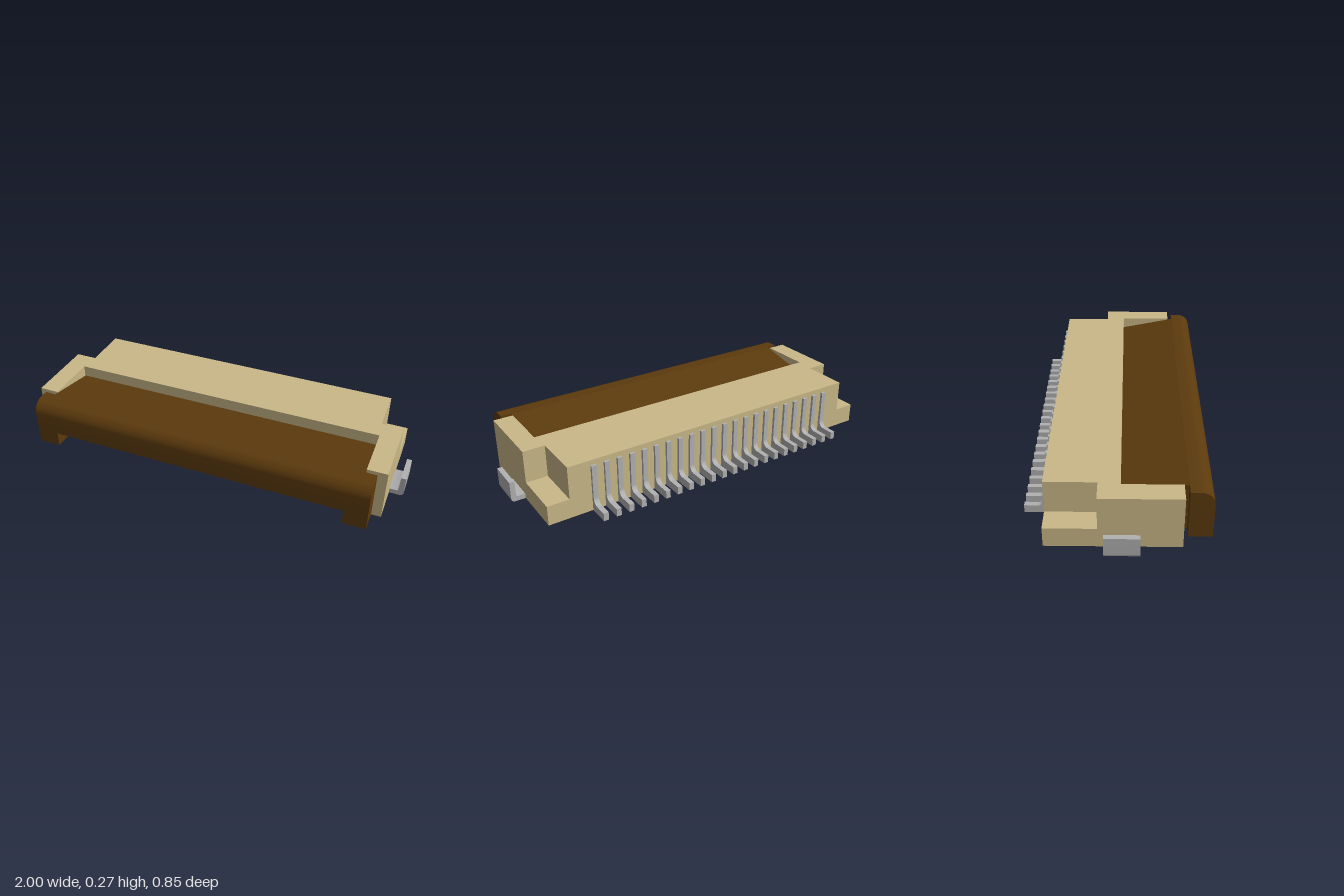
import * as THREE from 'three';
import { toCreasedNormals } from 'three/addons/utils/BufferGeometryUtils.js';

const housingMat = new THREE.MeshStandardMaterial({ color: 0xc9b888 });
housingMat.name = 'tan plastic';
const sliderMat = new THREE.MeshStandardMaterial({ color: 0x5c3a0d });
sliderMat.name = 'brown plastic';
const metalMat = new THREE.MeshStandardMaterial({ color: 0xb1b1b1 });
metalMat.name = 'grey metal';

function add(parent, name, geometry, material) {
  const mesh = new THREE.Mesh(geometry, material);
  mesh.name = name;
  parent.add(mesh);
  return mesh;
}

// Box given by its limits on each axis
function box(x0, x1, y0, y1, z0, z1) {
  return new THREE.BoxGeometry(x1 - x0, y1 - y0, z1 - z0)
    .translate((x0 + x1) / 2, (y0 + y1) / 2, (z0 + z1) / 2);
}

function extrude(shape, depth) {
  const geo = new THREE.ExtrudeGeometry(shape, { depth, bevelEnabled: false, curveSegments: 10 });
  return toCreasedNormals(geo, 0.6);
}

// Profile drawn in (z, y), extruded along x and centred on x = 0
function alongX(shape, width) {
  return extrude(shape, width).translate(0, 0, -width / 2).rotateY(-Math.PI / 2);
}

function polygon(points) {
  return new THREE.Shape(points.map(([a, b]) => new THREE.Vector2(a, b)));
}

export function createModel() {
  const model = new THREE.Group();
  model.name = 'ribbonCableConnector';

  // Housing: flat base, and an upper body with rear corner notches and a front bay
  const housing = new THREE.Group();
  housing.name = 'housing';
  model.add(housing);
  add(housing, 'base', box(-0.93, 0.93, 0, 0.08, -0.318, 0.293), housingMat);
  const half = [[0.82, -0.318], [0.82, -0.08], [0.93, -0.08], [0.93, 0.293], [0.83, 0.293], [0.83, 0.02]];
  const outline = [...half, ...half.map(([x, z]) => [-x, z]).reverse()];
  const body = extrude(polygon(outline.map(([x, z]) => [x, -z])), 0.185)
    .rotateX(-Math.PI / 2).translate(0, 0.08, 0);
  add(housing, 'upperBody', body, housingMat);
  for (const s of [-1, 1]) {
    const ledge = add(housing, 'cornerLedge', box(-0.055, 0.055, 0.08, 0.1, -0.318, -0.08), housingMat);
    ledge.position.x = s * 0.875;
  }

  // Locking slider: rounded front bar, tongue sloping down into the bay, end legs
  const slider = new THREE.Group();
  slider.name = 'slider';
  model.add(slider);
  const bar = new THREE.Shape();
  bar.moveTo(0.315, 0.1);
  bar.lineTo(0.425, 0.1);
  bar.lineTo(0.425, 0.2);
  bar.absarc(0.36, 0.2, 0.065, 0, Math.PI / 2, false);
  bar.lineTo(0.315, 0.265);
  bar.closePath();
  add(slider, 'frontBar', alongX(bar, 1.77), sliderMat);
  const tongue = polygon([[0.02, 0.1], [0.32, 0.1], [0.32, 0.265], [0.02, 0.205]]);
  add(slider, 'tongue', alongX(tongue, 1.658), sliderMat);
  for (const s of [-1, 1]) {
    const leg = add(slider, 'endLeg', box(-0.0575, 0.0575, 0.022, 0.1, 0.315, 0.425), sliderMat);
    leg.position.x = s * 0.8275;
    const inner = add(slider, 'innerLeg', box(-0.03, 0.03, 0.022, 0.1, 0.2, 0.315), sliderMat);
    inner.position.x = s * 0.8;
  }

  // Row of contacts: upright against the rear wall, with a filleted solder foot
  const pin = new THREE.Shape();
  pin.moveTo(-0.425, 0);
  pin.lineTo(-0.316, 0);
  pin.lineTo(-0.316, 0.24);
  pin.lineTo(-0.331, 0.24);
  pin.lineTo(-0.331, 0.07);
  pin.absarc(-0.361, 0.07, 0.03, 0, -Math.PI / 2, true);
  pin.lineTo(-0.425, 0.04);
  pin.closePath();
  const pinGeo = alongX(pin, 0.025);
  const contacts = new THREE.Group();
  contacts.name = 'contacts';
  model.add(contacts);
  const count = 22;
  for (let i = 0; i < count; i++) {
    add(contacts, 'contact', pinGeo, metalMat).position.x = -0.695 + (1.39 * i) / (count - 1);
  }

  // L-shaped solder tabs on both ends
  const tab = new THREE.Shape();
  tab.moveTo(0.92, 0);
  tab.lineTo(0.982, 0);
  tab.absarc(0.982, 0.018, 0.018, -Math.PI / 2, 0, false);
  tab.lineTo(1, 0.107);
  tab.lineTo(0.975, 0.107);
  tab.lineTo(0.975, 0.035);
  tab.absarc(0.965, 0.035, 0.01, 0, -Math.PI / 2, true);
  tab.lineTo(0.92, 0.025);
  tab.closePath();
  const tabGeo = extrude(tab, 0.158).translate(0, 0, -0.079);
  for (let i = 0; i < 2; i++) {
    const mesh = add(model, 'solderTab', tabGeo, metalMat);
    mesh.position.z = 0.027;
    mesh.rotation.y = i * Math.PI;
  }

  return model;
}
